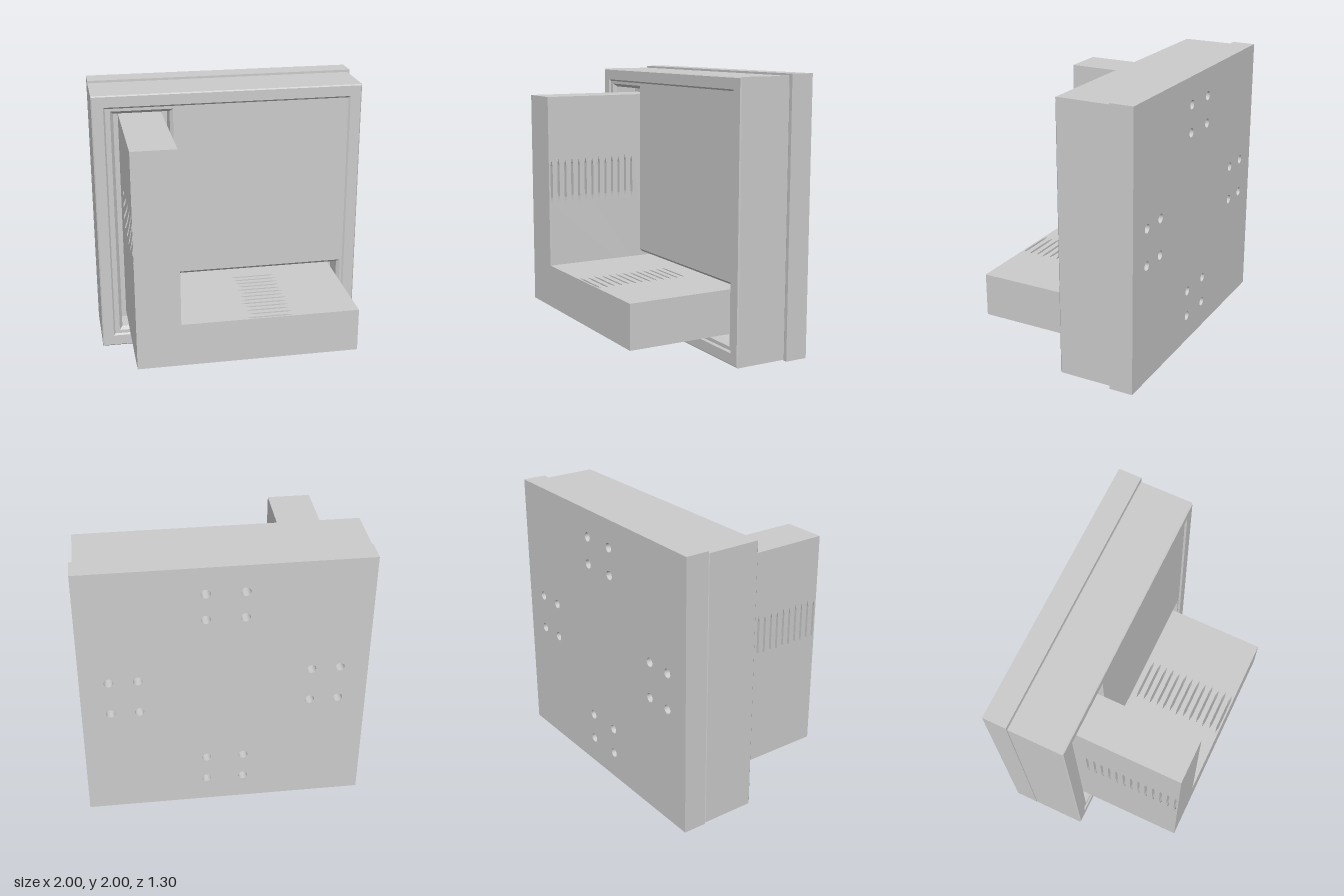
import * as THREE from 'three';

const material = new THREE.MeshStandardMaterial({ color: 0xcccccc });

function addMesh(parent, geometry, name) {
  const mesh = new THREE.Mesh(geometry, material);
  mesh.name = name;
  parent.add(mesh);
  return mesh;
}

// Counter-clockwise outlines as [x, y] corners
const rect = (x0, y0, x1, y1) => [[x0, y0], [x1, y0], [x1, y1], [x0, y1]];
const angleOutline = (o) => [
  [-0.8 - o, 0.2 - o], [0.8 + o, 0.2 - o], [0.8 + o, 0.52 + o],
  [-0.485 + o, 0.52 + o], [-0.485 + o, 1.8 + o], [-0.8 - o, 1.8 + o],
];
const housingOutline = (inset) => rect(-1 + inset, 0.01 + inset, 0.98 - inset, 1.985 - inset);

function shapeOf(outline, holes = []) {
  const vectors = (pts) => pts.map(([x, y]) => new THREE.Vector2(x, y));
  const shape = new THREE.Shape(vectors(outline));
  shape.holes = holes.map((h) => new THREE.Path(vectors(h)));
  return shape;
}

// Flat wall joining two outlines at two depths
function band(a, za, b, zb) {
  const pos = [];
  a.forEach((p, i) => {
    const j = (i + 1) % a.length;
    const A = [...p, za], B = [...a[j], za], C = [...b[j], zb], D = [...b[i], zb];
    pos.push(...A, ...B, ...C, ...A, ...C, ...D);
  });
  const g = new THREE.BufferGeometry();
  g.setAttribute('position', new THREE.Float32BufferAttribute(pos, 3));
  g.computeVertexNormals();
  return g;
}

const cap = (outline, holes, z) => new THREE.ShapeGeometry(shapeOf(outline, holes)).translate(0, 0, z);

// Back plate with four clusters of four mounting holes
function buildBackPlate() {
  const shape = shapeOf(rect(-1, 0, 1, 2));
  const hole = (x, y) => {
    const path = new THREE.Path();
    path.absarc(x, y, 0.033, 0, Math.PI * 2, true);
    shape.holes.push(path);
  };
  for (const side of [-1, 1]) {
    for (const reach of [0.6, 0.8]) {
      for (const across of [-0.133, 0.133]) {
        hole(side * reach, 1 + across);
        hole(across, 1 + side * reach);
      }
    }
  }
  return new THREE.ExtrudeGeometry(shape, { depth: 0.17, bevelEnabled: false, curveSegments: 12 })
    .translate(0, 0, -0.65);
}

// Housing with eased edges, a shallow sunken panel and an L-shaped recess
function buildHousing() {
  const group = new THREE.Group();
  group.name = 'housing';
  const back = -0.48, front = -0.08, panel = -0.092, floor = -0.28, ease = 0.008;
  const full = housingOutline(0), eased = housingOutline(ease);
  const rim = housingOutline(0.085), panelEdge = housingOutline(0.097);
  const recess = angleOutline(0.067), recessInner = angleOutline(0.045);

  addMesh(group, cap(eased, [], 0).rotateY(Math.PI).translate(-0.02, 0, back), 'housingBack');
  addMesh(group, band(eased, back, full, back + ease), 'housingBackEdge');
  addMesh(group, band(full, back + ease, full, front - ease), 'housingSides');
  addMesh(group, band(full, front - ease, eased, front), 'housingFrontEdge');
  addMesh(group, cap(eased, [rim], front), 'frontFrame');
  addMesh(group, band(rim, front, panelEdge, panel), 'frameStep');
  addMesh(group, cap(panelEdge, [recess], panel), 'frontPanel');
  addMesh(group, band(recess, panel, recessInner, panel - 0.025), 'recessChamfer');
  addMesh(group, band(recessInner, panel - 0.025, recessInner, floor), 'recessWalls');
  addMesh(group, cap(recessInner, [], floor), 'recessFloor');
  return group;
}

// Thirteen narrow slots with pointed ends; u runs along -z
function slots(start, end, alongX) {
  const w = 0.009, taper = 0.045;
  return Array.from({ length: 13 }, (_, i) => {
    const u = 0.05 - 0.0565 * i;
    const shift = i % 2 ? 0.005 : -0.005;
    const s = start + shift, e = end + shift;
    const pts = [
      [u, s], [u + w, s + taper], [u + w, e - taper],
      [u, e], [u - w, e - taper], [u - w, s + taper],
    ];
    return alongX ? pts.map(([a, b]) => [b, a]) : pts;
  });
}

export function createModel() {
  const model = new THREE.Group();
  model.name = 'wallFixture';

  addMesh(model, buildBackPlate(), 'backPlate');
  model.add(buildHousing());

  // L-shaped body: two slotted arms reaching out of the recess
  const body = new THREE.Group();
  body.name = 'angleBody';
  const upright = new THREE.ExtrudeGeometry(
    shapeOf(rect(-0.65, 0.2, 0.28, 1.8), slots(1.0, 1.33, false)),
    { depth: 0.315, bevelEnabled: false });
  addMesh(body, upright.rotateY(Math.PI / 2).translate(-0.8, 0, 0), 'uprightArm');
  const level = new THREE.ExtrudeGeometry(
    shapeOf(rect(-0.485, -0.65, 0.8, 0.28), slots(0, 0.33, true)),
    { depth: 0.32, bevelEnabled: false });
  addMesh(body, level.rotateX(-Math.PI / 2).translate(0, 0.2, 0), 'levelArm');
  model.add(body);

  return model;
}
